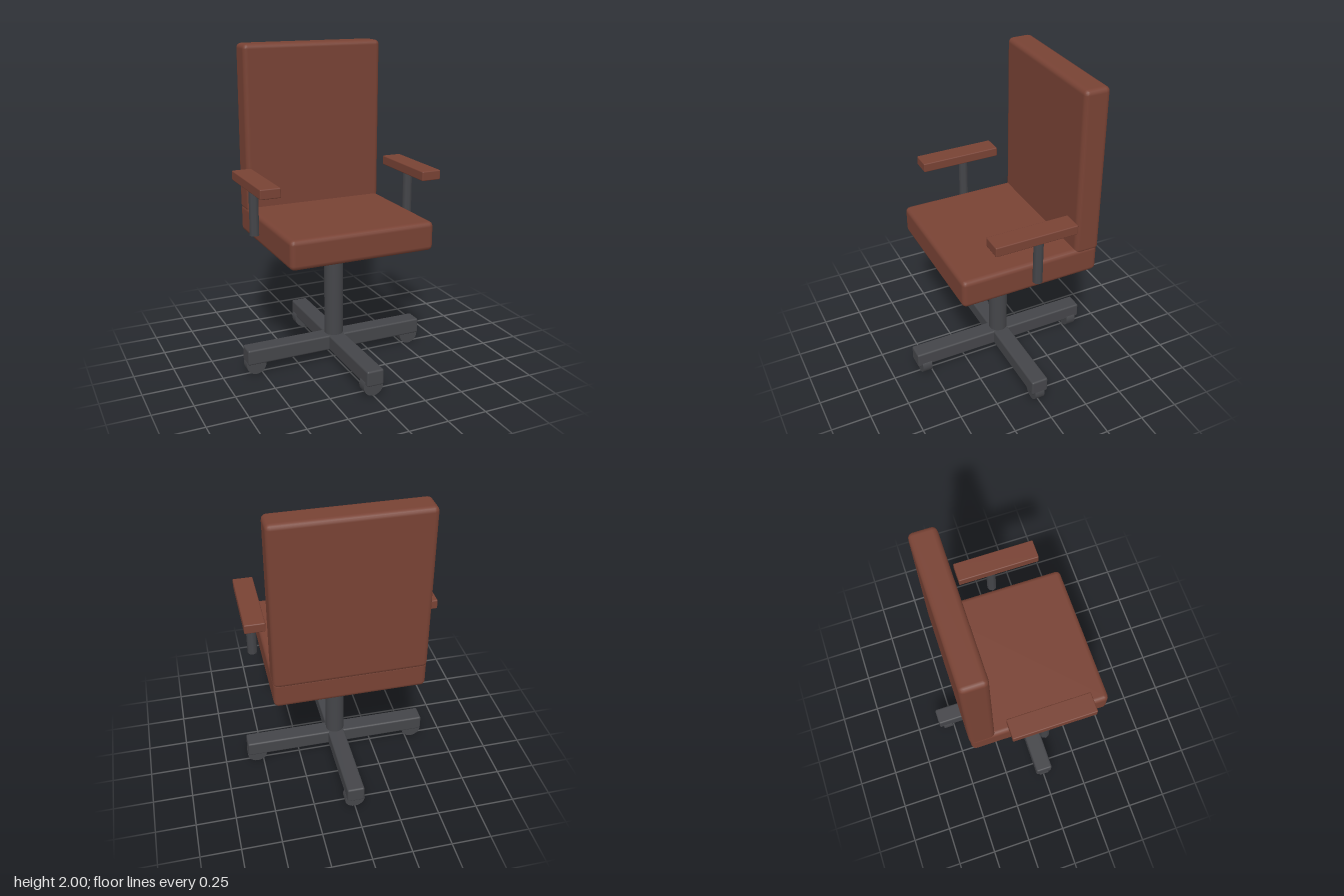
import * as THREE from 'three';
import { RoundedBoxGeometry } from 'three/addons/geometries/RoundedBoxGeometry.js';

const leather = new THREE.MeshStandardMaterial({ name: 'brownLeather', color: 0x784234 });
const metal = new THREE.MeshStandardMaterial({ name: 'darkMetal', color: 0x444549 });

export function createModel() {
  const chair = new THREE.Group();
  chair.name = 'officeChair';

  function add(name, geometry, material, x, y, z) {
    const mesh = new THREE.Mesh(geometry, material);
    mesh.name = name;
    mesh.position.set(x, y, z);
    chair.add(mesh);
    return mesh;
  }
  const box = (w, h, d, r) => new RoundedBoxGeometry(w, h, d, 2, r);

  // Cushions
  add('seat', box(0.92, 0.18, 0.885, 0.03), leather, 0, 0.893, 0);
  add('backrest', box(0.92, 1.05, 0.16, 0.03), leather, 0, 1.475, -0.37);

  // Armrests on posts
  for (const [side, s] of [['left', 1], ['right', -1]]) {
    add(side + 'Armrest', box(0.125, 0.06, 0.515, 0.007), leather, s * 0.518, 1.227, 0.038);
    add(side + 'ArmPost', new THREE.CylinderGeometry(0.03, 0.03, 0.3, 8), metal, s * 0.52, 1.05, 0);
  }

  // Central column
  add('column', new THREE.CylinderGeometry(0.06, 0.06, 0.66, 32), metal, 0, 0.49, 0);

  // Crossed base with a caster under each end
  add('baseBarAcross', box(1.2, 0.1, 0.11, 0.012), metal, 0, 0.125, 0);
  add('baseBarAlong', box(0.11, 0.1, 1.2, 0.012), metal, 0, 0.125, 0);
  for (const [x, z] of [[0.54, 0], [-0.54, 0], [0, 0.54], [0, -0.54]]) {
    const wheel = new THREE.CylinderGeometry(0.064, 0.064, 0.063, 24).rotateX(Math.PI / 2);
    add('caster', wheel, metal, x, 0.064, z);
  }
  return chair;
}
